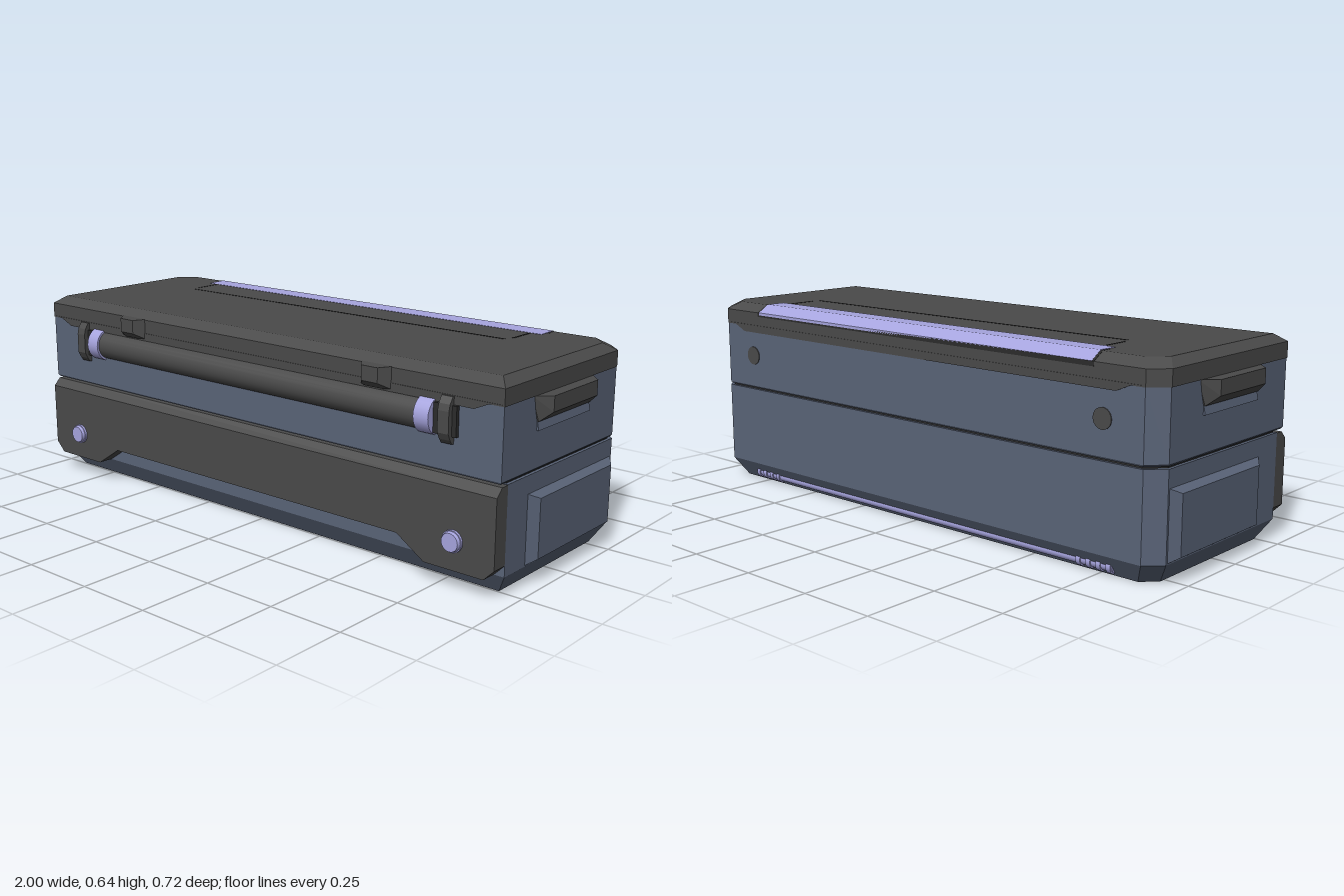
import * as THREE from 'three';
import { ConvexGeometry } from 'three/addons/geometries/ConvexGeometry.js';

export function createModel() {
  const group = new THREE.Group();
  const mat = (color) => new THREE.MeshStandardMaterial({ color });
  const dark = mat(0x4a4a4a), black = mat(0x2c2c2c), blue = mat(0x5a6478), violet = mat(0xa6a4de);

  const add = (name, geometry, material, x = 0, y = 0, z = 0) => {
    const mesh = new THREE.Mesh(geometry, material);
    mesh.name = name;
    mesh.position.set(x, y, z);
    group.add(mesh);
    return mesh;
  };
  const box = (name, w, h, d, material, x, y, z) => add(name, new THREE.BoxGeometry(w, h, d), material, x, y, z);
  const hull = (name, points, material) =>
    add(name, new ConvexGeometry(points.map((p) => new THREE.Vector3(...p))), material);
  // horizontal outline with both back corners cut
  const ring = (y, hx, zf, zb, c) => [
    [hx, y, zf], [-hx, y, zf], [-hx, y, zb + c], [-hx + c, y, zb], [hx - c, y, zb], [hx, y, zb + c],
  ];
  // outline given in (x, y), extruded along z
  const plate = (name, pts, depth, material, z) =>
    add(name, new THREE.ExtrudeGeometry(new THREE.Shape(pts.map((p) => new THREE.Vector2(...p))),
      { depth, bevelEnabled: false }), material, 0, 0, z);
  // profile given in (z, y), swept along x between x0 and x1
  const bar = (name, pts, x0, x1, material) =>
    hull(name, [x0, x1].flatMap((x) => pts.map(([z, y]) => [x, y, z])), material);
  const rod = (name, r, length, material, x, y, z, axis = 'x', sides = 24) => {
    const geometry = new THREE.CylinderGeometry(r, r, length, sides);
    if (axis === 'x') geometry.rotateZ(Math.PI / 2);
    else geometry.rotateX(Math.PI / 2);
    return add(name, geometry, material, x, y, z);
  };

  // case body and lid
  hull('lowerBody', [...ring(0, 0.92, 0.245, -0.315, 0.045), ...ring(0.065, 0.96, 0.285, -0.355, 0.05),
    ...ring(0.34, 0.96, 0.285, -0.355, 0.05)], blue);
  hull('seam', [...ring(0.335, 0.95, 0.278, -0.346, 0.05), ...ring(0.355, 0.95, 0.278, -0.346, 0.05)], black);
  hull('upperBody', [...ring(0.346, 0.955, 0.316, -0.351, 0.05), ...ring(0.352, 0.96, 0.32, -0.355, 0.05),
    ...ring(0.568, 0.96, 0.32, -0.355, 0.05)], blue);
  hull('lid', [...ring(0.567, 0.962, 0.322, -0.356, 0.051), ...ring(0.618, 0.962, 0.322, -0.356, 0.051),
    ...ring(0.643, 0.93, 0.285, -0.315, 0.05)], dark);

  // stepped skirts below the lid, front and back
  const skirt = (w) => [[-w, 0.572], [-w + 0.04, 0.568], [-w + 0.09, 0.546], [w - 0.09, 0.546],
    [w - 0.04, 0.568], [w, 0.572]];
  plate('frontSkirt', skirt(0.955), 0.022, dark, 0.302);
  plate('backSkirt', skirt(0.905), 0.022, dark, -0.358);

  // front panel with a cut-out along its lower edge
  plate('frontPanel', [[-0.96, 0.313], [-0.96, 0.1], [-0.925, 0.065], [-0.72, 0.065], [-0.62, 0.13],
    [0.62, 0.13], [0.72, 0.065], [0.925, 0.065], [0.96, 0.1], [0.96, 0.313]], 0.055, dark, 0.284);
  bar('frontPanelTop', [[0.284, 0.313], [0.339, 0.313], [0.314, 0.338], [0.284, 0.338]], -0.96, 0.96, dark);

  // tube across the front
  rod('frontTube', 0.05, 1.38, dark, 0, 0.5, 0.3);

  // violet strip over the rear edge of the lid, in a dark frame
  const strip = (e) => [[-0.245 + e, 0.62], [-0.245 + e, 0.644 - e / 4], [-0.315, 0.645 - e / 4],
    [-0.357, 0.619], [-0.357, 0.61 - e], [-0.3, 0.61 - e]];
  bar('lidStripFrame', strip(0.006), -0.738, 0.738, black);
  bar('lidStrip', strip(0), -0.73, 0.73, violet);
  box('lidGroove', 1.36, 0.003, 0.006, black, 0, 0.6425, -0.116);

  // rod along the lower rear edge
  rod('rearRod', 0.018, 1.6, violet, 0, 0.028, -0.318);

  for (const s of [1, -1]) {
    box('lidGrooveEnd', 0.006, 0.003, 0.1, black, s * 0.69, 0.6425, -0.195);

    // raised panel on the side of the lower body
    hull('sidePanel', [[0.955, 0.065, 0.185], [0.955, 0.287, 0.185], [0.955, 0.065, -0.305], [0.955, 0.287, -0.305],
      [0.983, 0.083, 0.145], [0.983, 0.268, 0.145], [0.983, 0.083, -0.267], [0.983, 0.268, -0.267]]
      .map(([x, y, z]) => [s * x, y, z]), blue);

    // side grip with the sloped ledge under it
    hull('sideGrip', [[0.955, 0.567, 0.17], [0.955, 0.567, -0.165], [0.965, 0.567, 0.148], [0.965, 0.567, -0.142],
      [0.965, 0.49, 0.148], [0.965, 0.49, -0.142], [0.955, 0.49, 0.148], [0.955, 0.49, -0.142],
      [1, 0.567, 0.127], [1, 0.567, -0.118], [1, 0.52, 0.127], [1, 0.52, -0.118]]
      .map(([x, y, z]) => [s * x, y, z]), dark);
    hull('gripLedge', [0.148, -0.142].flatMap((z) => [[s * 0.955, 0.464, z], [s * 0.967, 0.464, z],
      [s * 0.961, 0.492, z], [s * 0.955, 0.492, z]]), blue);

    // tube collar and bracket
    rod('tubeCollar', 0.058, 0.052, violet, s * 0.71, 0.5, 0.299);
    bar('tubeBracket', [[0.3, 0.57], [0.33, 0.57], [0.343, 0.55], [0.348, 0.53], [0.348, 0.465],
      [0.338, 0.445], [0.328, 0.432], [0.3, 0.432]], s * 0.762, s * 0.8, dark);
    box('bracketPin', 0.09, 0.09, 0.02, black, s * 0.77, 0.5, 0.322);

    // latch tab on the front of the lid
    hull('lidTab', [[0.055, 0.31, 0.62], [0.055, 0.31, 0.555], [0.055, 0.322, 0.62], [0.055, 0.322, 0.553],
      [0.03, 0.355, 0.618], [0.03, 0.355, 0.572], [0.03, 0.335, 0.553]]
      .flatMap(([w, z, y]) => [[s * 0.525 - w, y, z], [s * 0.525 + w, y, z]]), dark);

    // front bolt and rear button
    rod('boltCollar', 0.034, 0.01, violet, s * 0.82, 0.155, 0.342, 'z');
    add('frontBolt', new THREE.CylinderGeometry(0.028, 0.033, 0.016, 24).rotateX(Math.PI / 2),
      violet, s * 0.82, 0.155, 0.349);
    rod('rearButton', 0.032, 0.012, dark, s * 0.77, 0.462, -0.352, 'z');

    // ribs near the ends of the rear rod
    for (let i = 0; i < 4; i++) rod('rearRodRib', 0.023, 0.016, violet, s * (0.68 + i * 0.036), 0.028, -0.317);
  }
  return group;
}
